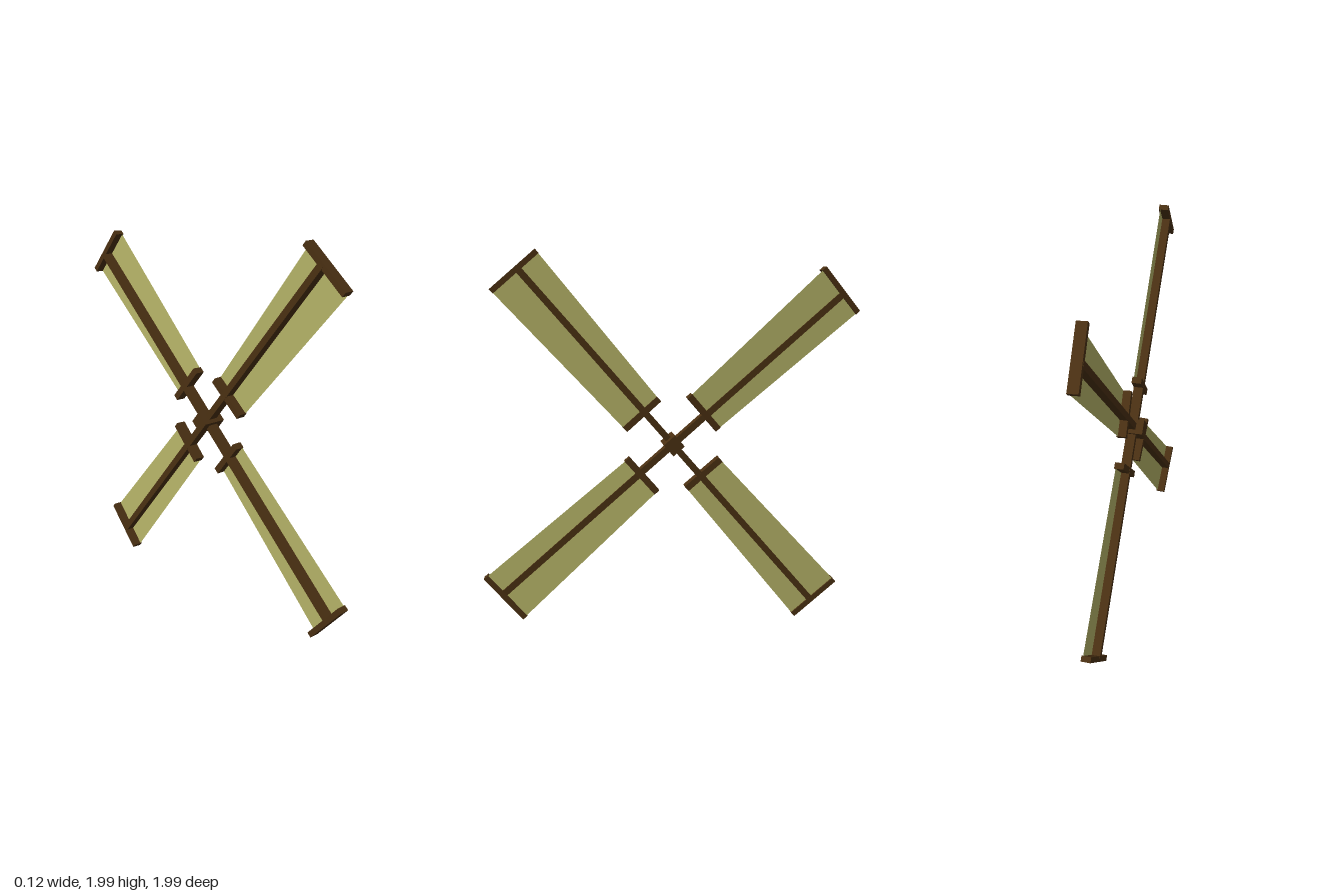
import * as THREE from 'three';

export function createModel() {
  const model = new THREE.Group();
  const wood = new THREE.MeshStandardMaterial({ color: 0x4a3012, flatShading: true });
  const cloth = new THREE.MeshStandardMaterial({ color: 0xb6b468, flatShading: true, side: THREE.DoubleSide });

  function box(name, parent, size, position) {
    const mesh = new THREE.Mesh(new THREE.BoxGeometry(...size), wood);
    mesh.name = name;
    mesh.position.set(...position);
    parent.add(mesh);
    return mesh;
  }

  // Rotor turning about the x axis; each arm runs along its local +y
  const rotor = new THREE.Group();
  rotor.name = 'rotor';
  rotor.position.y = 1;
  rotor.rotation.x = THREE.MathUtils.degToRad(40.6);
  model.add(rotor);

  box('hub', rotor, [0.125, 0.078, 0.078], [-0.002, 0, 0]);

  // Tapered cloth, wider on the trailing (+z) side: shape x becomes local z
  const outline = new THREE.Shape([
    new THREE.Vector2(-0.1, 0.23), new THREE.Vector2(0.135, 0.23),
    new THREE.Vector2(0.17, 1.19), new THREE.Vector2(-0.127, 1.19),
  ]);
  const clothGeometry = new THREE.ShapeGeometry(outline);
  clothGeometry.rotateY(-Math.PI / 2);

  for (let i = 0; i < 4; i++) {
    const arm = new THREE.Group();
    arm.name = 'arm' + (i + 1);
    arm.rotation.x = i * Math.PI / 2;
    rotor.add(arm);
    box('spar', arm, [0.05, 1.19, 0.034], [-0.001, 0.595, 0]);

    // Sail frame and cloth, pitched slightly about the spar
    const sail = new THREE.Group();
    sail.name = 'sail';
    sail.rotation.y = 0.045;
    arm.add(sail);
    box('innerBar', sail, [0.05, 0.033, 0.237], [0, 0.231, 0.0175]);
    box('outerBar', sail, [0.05, 0.028, 0.3], [0, 1.189, 0.022]);
    const panel = new THREE.Mesh(clothGeometry, cloth);
    panel.name = 'sailCloth';
    panel.position.x = 0.017;
    sail.add(panel);
  }
  return model;
}
